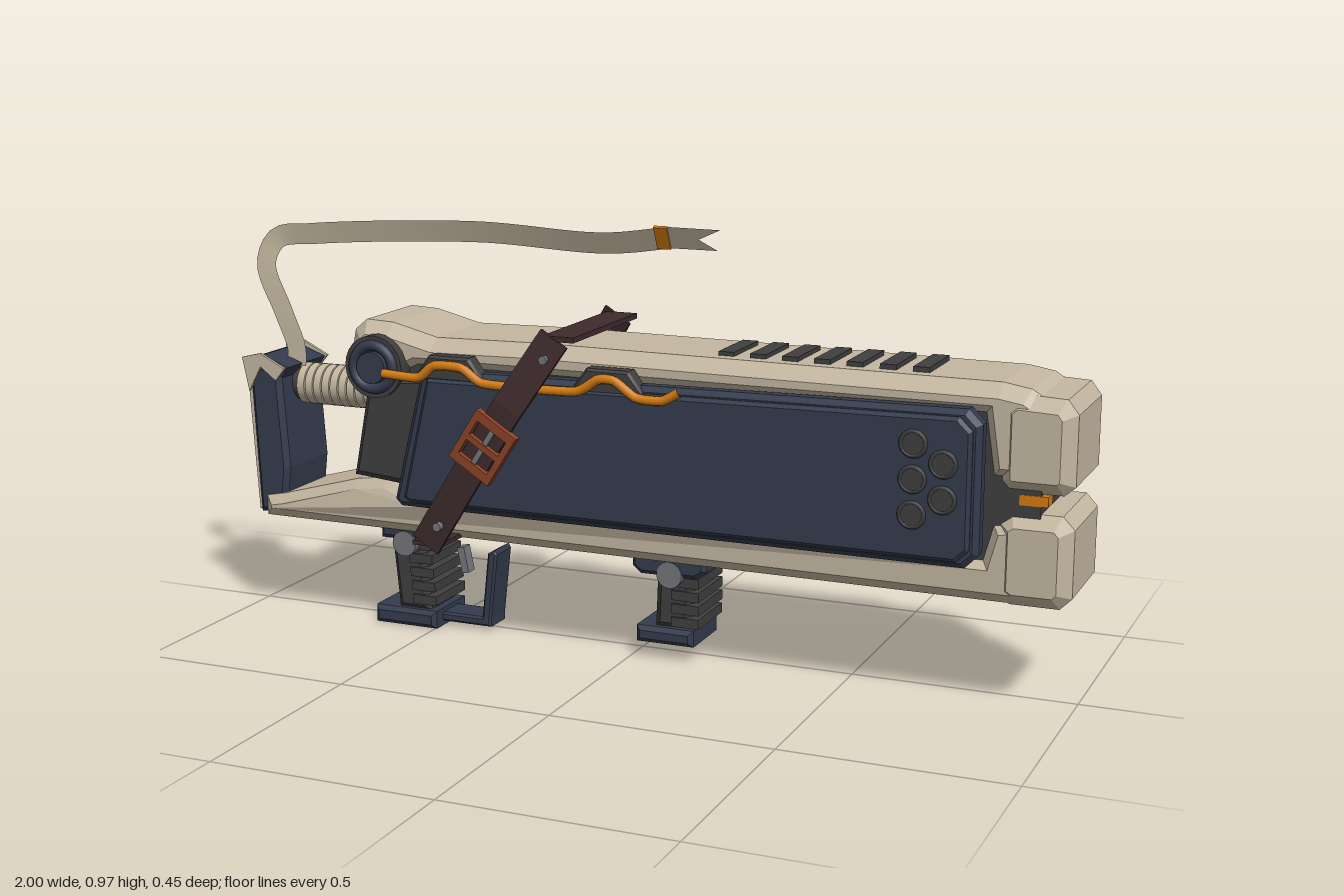
import * as THREE from 'three';

const mat = (name, color, side = THREE.FrontSide) => {
  const m = new THREE.MeshStandardMaterial({ color, side });
  m.name = name;
  return m;
};

export function createModel() {
  const beige = mat('beige shell', 0xc4b7a1);
  const navy = mat('navy plating', 0x343b4d);
  const grey = mat('dark grey core', 0x3f3f40);
  const orange = mat('orange accent', 0xd47c12);
  const brown = mat('brown leather', 0x3e2a2c);
  const rust = mat('rust buckle', 0x8c4226);
  const metal = mat('bolt metal', 0x74757a);
  const cloth = mat('ribbon cloth', 0xc0b49d, THREE.DoubleSide);

  const model = new THREE.Group();
  model.name = 'blaster';
  const add = (name, geo, material, x = 0, y = 0, z = 0) => {
    const m = new THREE.Mesh(geo, material);
    m.name = name;
    m.position.set(x, y, z);
    model.add(m);
    return m;
  };
  // Side profile extruded across z, with chamfered edges inside the outline
  const slab = (pts, half, bevel = 0) => {
    const g = new THREE.ExtrudeGeometry(new THREE.Shape(pts.map(p => new THREE.Vector2(...p))), {
      depth: 2 * (half - bevel), bevelEnabled: bevel > 0, bevelSegments: 1,
      bevelSize: bevel, bevelThickness: bevel, bevelOffset: -bevel,
    });
    return g.translate(0, 0, bevel - half);
  };
  const block = (x0, x1, y0, y1, half, bevel) => slab([[x0, y0], [x1, y0], [x1, y1], [x0, y1]], half, bevel);
  const disc = (r, h, n = 24, r2 = r) => new THREE.CylinderGeometry(r, r2, h, n).rotateX(Math.PI / 2);

  // Shells and inner core
  add('upperShell', slab([[-0.68, 0.66], [-0.65, 0.61], [-0.56, 0.6], [-0.5, 0.63], [0.8, 0.63], [0.82, 0.5],
    [0.9, 0.5], [0.94, 0.67], [0.9, 0.695], [0.84, 0.705], [-0.2, 0.71], [-0.46, 0.705], [-0.57, 0.732],
    [-0.64, 0.735], [-0.67, 0.71]], 0.135, 0.03), beige);
  const lower = slab([[-0.93, 0.243], [0.9, 0.243], [0.9, 0.42], [0.83, 0.41], [0.81, 0.335], [-0.5, 0.335],
    [-0.6, 0.365], [-0.68, 0.355], [-0.88, 0.3], [-0.93, 0.29]], 0.135, 0.022);
  const lp = lower.attributes.position;
  for (let i = 0; i < lp.count; i++) if (lp.getX(i) < -0.6) lp.setZ(i, lp.getZ(i) * 0.87);
  lower.computeVertexNormals();
  add('lowerShell', lower, beige);
  add('core', block(-0.55, 0.93, 0.3, 0.66, 0.118), grey);
  add('rearCore', slab([[-0.665, 0.375], [-0.5, 0.36], [-0.46, 0.62], [-0.62, 0.61]], 0.148, 0.015), grey);

  // Split muzzle
  add('upperMuzzle', slab([[0.84, 0.5], [0.86, 0.48], [0.975, 0.48], [0.998, 0.5], [0.998, 0.65],
    [0.975, 0.68], [0.87, 0.685], [0.84, 0.66]], 0.138, 0.028), beige);
  add('lowerMuzzle', slab([[0.84, 0.26], [0.87, 0.24], [0.975, 0.24], [1, 0.265], [1, 0.41],
    [0.975, 0.437], [0.87, 0.437], [0.84, 0.415]], 0.138, 0.028), beige);

  // Top vents
  for (let i = 0; i < 7; i++)
    add('topVent', new THREE.BoxGeometry(0.036, 0.02, 0.15), grey, 0.226 + i * 0.0722, 0.707, 0);

  const panel = [[-0.545, 0.335], [-0.53, 0.32], [0.785, 0.32], [0.815, 0.35], [0.815, 0.625], [0.785, 0.655], [-0.47, 0.64]];
  const inset = [[-0.515, 0.345], [-0.5, 0.335], [0.77, 0.335], [0.798, 0.362], [0.798, 0.612], [0.77, 0.64], [-0.45, 0.625]];
  const holes = [[0.676, 0.578], [0.74, 0.54], [0.676, 0.503], [0.74, 0.465], [0.676, 0.428]];
  const cable = new THREE.CatmullRomCurve3([[-0.56, 0.628], [-0.47, 0.625], [-0.43, 0.655], [-0.36, 0.655],
    [-0.31, 0.625], [-0.2, 0.622], [-0.08, 0.625], [-0.03, 0.655], [0.01, 0.655], [0.06, 0.622],
    [0.12, 0.62], [0.16, 0.642]].map(p => new THREE.Vector3(p[0], p[1], 0)), false, 'catmullrom', 0.3);

  // Leather strap direction along the side
  const tilt = Math.atan2(0.47, 0.3);
  const dir = new THREE.Vector3(Math.cos(tilt), Math.sin(tilt), 0);

  for (const s of [1, -1]) {
    // Armour panel, louvre holes and cable
    add('panelBase', slab(panel, 0.025, 0.012), navy, 0, 0, s * 0.146);
    add('panelPlate', slab(inset, 0.012, 0.008), navy, 0, 0, s * 0.17);
    for (const [x, y] of holes) {
      add('holeRim', new THREE.TorusGeometry(0.026, 0.005, 6, 24), grey, x, y, s * 0.182);
      add('holeDisc', disc(0.025, 0.006), grey, x, y, s * 0.182);
    }
    for (const x of [-0.395, -0.01])
      add('cableClip', slab([[-0.09, -0.03], [0.09, -0.03], [0.05, 0.025], [-0.05, 0.025]], 0.02, 0.006), grey, x, 0.652, s * 0.157);
    add('cable', new THREE.TubeGeometry(cable, 70, 0.0105, 8), orange, 0, 0, s * 0.18);
    add('muzzleLight', new THREE.BoxGeometry(0.06, 0.022, 0.04), orange, 0.915, 0.466, s * 0.1);

    // Rear pivot
    add('pivotDisc', disc(0.072, 0.05), grey, -0.596, 0.636, s * 0.135);
    add('pivotRing', new THREE.TorusGeometry(0.05, 0.012, 8, 28), navy, -0.596, 0.636, s * 0.16);
    add('pivotCap', disc(0.036, 0.03), navy, -0.596, 0.636, s * 0.158);

    // Strap side: bent profile swept across its width
    const out = new THREE.Vector3(0, 0, s);
    const basis = new THREE.Matrix4().makeBasis(dir, out, dir.clone().cross(out)).setPosition(-0.29, 0.495, 0);
    const strap = slab([[-0.295, 0.192], [-0.05, 0.2], [0.1, 0.198], [0.285, 0.167], [0.285, 0.177],
      [0.1, 0.209], [-0.05, 0.211], [-0.295, 0.203]], 0.036);
    add('strapSide', strap.applyMatrix4(basis), brown);

    // Buckle frame, prong and strap rivets
    const frame = new THREE.Shape([[-0.066, -0.056], [0.066, -0.056], [0.066, 0.056], [-0.066, 0.056]].map(p => new THREE.Vector2(...p)));
    for (const c of [-0.026, 0.026])
      frame.holes.push(new THREE.Path([[c - 0.019, -0.041], [c - 0.019, 0.041], [c + 0.019, 0.041], [c + 0.019, -0.041]].map(p => new THREE.Vector2(...p))));
    const fg = new THREE.ExtrudeGeometry(frame, { depth: 0.02, bevelEnabled: false }).translate(0, 0, -0.01);
    add('buckleFrame', fg, rust, -0.29, 0.49, s * 0.214).rotation.z = tilt;
    add('bucklePin', new THREE.BoxGeometry(0.09, 0.012, 0.012), metal, -0.29, 0.49, s * 0.214).rotation.z = tilt;
    add('strapRivet', disc(0.01, 0.02, 12), metal, -0.41, 0.295, s * 0.21);
    add('strapRivet', disc(0.01, 0.02, 12), metal, -0.155, 0.69, s * 0.184);
  }
  add('strapTop', new THREE.BoxGeometry(0.075, 0.012, 0.35), brown, -0.127, 0.735, 0);
  add('strapBottom', new THREE.BoxGeometry(0.075, 0.01, 0.4), brown, -0.445, 0.248, 0);

  // Recoil tube with coils
  add('recoilTube', new THREE.CylinderGeometry(0.042, 0.042, 0.3, 24).rotateZ(Math.PI / 2), grey, -0.76, 0.55, 0);
  for (let i = 0; i < 10; i++)
    add('recoilCoil', new THREE.CylinderGeometry(0.049, 0.049, 0.019, 24).rotateZ(Math.PI / 2), beige, -0.86 + i * 0.0225, 0.55, 0);

  // Shoulder plate with flared cap
  add('shoulderPlate', slab([[-0.955, 0.245], [-0.885, 0.25], [-0.872, 0.36], [-0.888, 0.59], [-0.935, 0.605], [-0.972, 0.6]], 0.095, 0.012), navy);
  add('shoulderCap', slab([[-0.965, 0.57], [-0.89, 0.57], [-0.87, 0.6], [-0.94, 0.625], [-0.975, 0.615]], 0.09, 0.008), navy);
  for (const s of [1, -1])
    add('capCheek', slab([[-0.985, 0.62], [-0.968, 0.54], [-0.935, 0.6], [-0.895, 0.57], [-0.87, 0.6], [-0.935, 0.632]], 0.004), beige, 0, 0, s * 0.096);
  add('shoulderEdge', slab([[-0.985, 0.61], [-0.963, 0.25], [-0.953, 0.25], [-0.968, 0.61]], 0.08), beige);

  // Rear grip, guard and trigger
  add('rearGrip', slab([[-0.6, 0.04], [-0.515, 0.04], [-0.53, 0.245], [-0.62, 0.245]], 0.068, 0.015), grey);
  add('rearGripMount', block(-0.63, -0.51, 0.215, 0.25, 0.09, 0.01), navy);
  for (let i = 0; i < 5; i++)
    add('rearGripRib', new THREE.BoxGeometry(0.06, 0.022, 0.145), grey, -0.525 - i * 0.003, 0.07 + i * 0.033, 0);
  add('rearGripBase', block(-0.655, -0.495, 0.003, 0.045, 0.08, 0.01), navy);
  add('guardBar', block(-0.51, -0.37, 0.013, 0.035, 0.04, 0.005), navy);
  add('guardPost', slab([[-0.395, 0.013], [-0.372, 0.013], [-0.352, 0.19], [-0.358, 0.2], [-0.376, 0.19]], 0.04, 0.005), navy);
  add('trigger', new THREE.BoxGeometry(0.018, 0.062, 0.03), metal, -0.453, 0.16, 0).rotation.z = 0.2;

  // Front grip
  add('frontGripMount', slab([[0.01, 0.25], [0.01, 0.22], [0.03, 0.203], [0.165, 0.203], [0.188, 0.22], [0.188, 0.25]], 0.092, 0.01), navy);
  add('frontGrip', slab([[0.055, 0.075], [0.14, 0.075], [0.15, 0.21], [0.06, 0.21]], 0.068, 0.015), grey);
  for (let i = 0; i < 4; i++)
    add('frontGripRib', new THREE.BoxGeometry(0.065, 0.022, 0.148), grey, 0.132, 0.095 + i * 0.031, 0);
  add('frontGripBase', block(0.015, 0.152, 0.04, 0.078, 0.08, 0.01), navy);
  for (const s of [1, -1]) for (const x of [-0.565, 0.102])
    add('gripBolt', disc(0.03, 0.02, 20), metal, x, 0.208, s * 0.084);

  // Flowing flat ribbon
  const path = new THREE.CatmullRomCurve3([[-0.885, 0.59, 0.02], [-0.885, 0.635, 0.018], [-0.922, 0.72, 0.012], [-0.972, 0.83, 0],
    [-0.945, 0.89, -0.01], [-0.85, 0.905, -0.015], [-0.42, 0.931, -0.018], [-0.1, 0.922, -0.02],
    [0.065, 0.944, -0.015]].map(p => new THREE.Vector3(...p)));
  const ribbon = new THREE.PlaneGeometry(1, 0.05, 70, 1);
  const rp = ribbon.attributes.position;
  for (let i = 0; i < rp.count; i++) {
    const u = rp.getX(i) + 0.5, v = rp.getY(i);
    const p = path.getPointAt(u), t = path.getTangentAt(u);
    rp.setXYZ(i, p.x - t.y * v, p.y + t.x * v, p.z + v * 0.5 * u);
  }
  ribbon.computeVertexNormals();
  add('ribbon', ribbon, cloth);
  const tail = new THREE.ShapeGeometry(new THREE.Shape([[0.055, 0.918], [0.165, 0.918], [0.125, 0.942],
    [0.18, 0.967], [0.055, 0.968]].map(p => new THREE.Vector2(...p))));
  const tp = tail.attributes.position;
  for (let i = 0; i < tp.count; i++) tp.setZ(i, (tp.getY(i) - 0.942) * 0.5 - 0.015);
  tail.computeVertexNormals();
  add('ribbonTail', tail, cloth);
  add('ribbonBand', new THREE.BoxGeometry(0.032, 0.056, 0.008), orange, 0.04, 0.942, -0.015).rotation.x = 0.46;

  return model;
}
